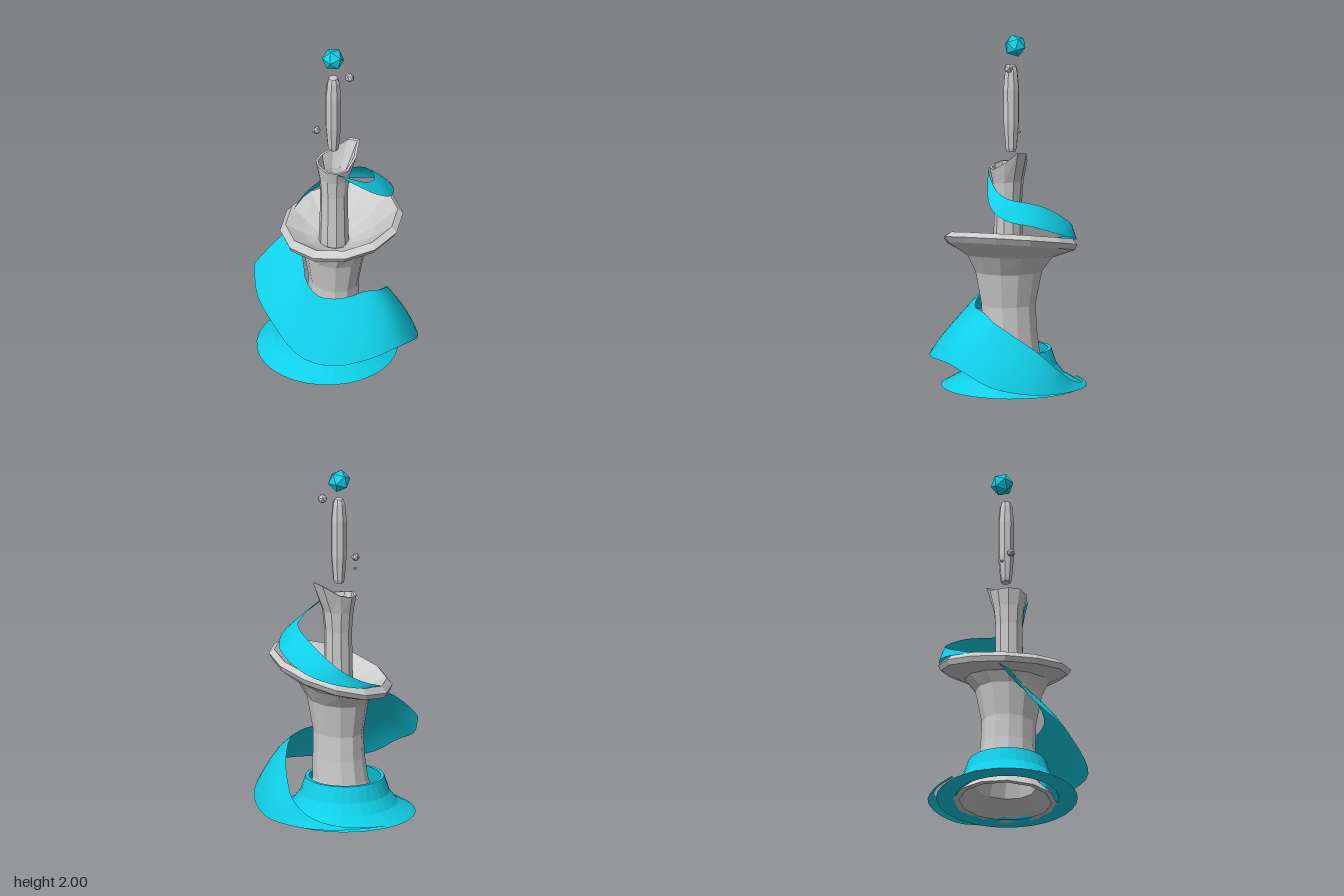
import * as THREE from 'three';

const grey = new THREE.MeshStandardMaterial({ color: 0xcccccc, flatShading: true, side: THREE.DoubleSide });
const cyan = new THREE.MeshStandardMaterial({ color: 0x10cfe8, flatShading: true, side: THREE.DoubleSide });
const cyanSmooth = new THREE.MeshStandardMaterial({ color: 0x10cfe8, side: THREE.DoubleSide });

// Skin rows of points; wrap joins the ends of each row
function loft(rows, wrap) {
  const n = rows[0].length, pos = [], idx = [];
  rows.forEach(r => r.forEach(p => pos.push(p.x, p.y, p.z)));
  for (let i = 0; i < rows.length - 1; i++) {
    for (let j = 0; j < (wrap ? n : n - 1); j++) {
      const k = (j + 1) % n;
      const a = i * n + j, b = a + n, c = i * n + k, d = c + n;
      idx.push(a, b, c, b, d, c);
    }
  }
  const g = new THREE.BufferGeometry();
  g.setAttribute('position', new THREE.Float32BufferAttribute(pos, 3));
  g.setIndex(idx);
  g.computeVertexNormals();
  return g;
}

// Horizontal ring of points, bent by an optional rule
function ring(sides, cx, y, cz, rx, rz, bend) {
  return Array.from({ length: sides }, (_, j) => {
    const a = (j / sides) * Math.PI * 2;
    const p = new THREE.Vector3(cx + rx * Math.cos(a), y, cz + rz * Math.sin(a));
    if (bend) bend(p, a);
    return p;
  });
}

// Sheet between an upper and a lower edge curve, bulging outwards
function ribbon(upper, lower, bulge, steps) {
  const curve = pts => new THREE.CatmullRomCurve3(pts.map(p => new THREE.Vector3(...p)));
  const U = curve(upper), L = curve(lower), across = 6, rows = [];
  for (let i = 0; i <= steps; i++) {
    const t = i / steps;
    const u = U.getPoint(t), l = L.getPoint(t), w = l.clone().sub(u);
    const tangent = U.getTangent(t).add(L.getTangent(t));
    const out = w.clone().cross(tangent).normalize().multiplyScalar(bulge * w.length());
    rows.push(Array.from({ length: across + 1 }, (_, j) => {
      const s = 1 - j / across;
      return u.clone().addScaledVector(w, s).addScaledVector(out, 4 * s * (1 - s));
    }));
  }
  return loft(rows, false);
}

export function createModel() {
  const model = new THREE.Group();
  const add = (name, geometry, material, x = 0, y = 0, z = 0) => {
    const m = new THREE.Mesh(geometry, material);
    m.name = name;
    m.position.set(x, y, z);
    model.add(m);
    return m;
  };

  // Flared skirt with a hollow collar: [y, radius]
  const skirt = [[0, 0.29], [0, 0.395], [0.02, 0.36], [0.06, 0.295], [0.12, 0.25], [0.21, 0.22], [0.21, 0.2], [0.1, 0.225], [0, 0.29]];
  add('baseSkirt', loft(skirt.map(([y, r]) => ring(32, -0.045, y, -0.04, r, r)), true), cyan);

  // Hollow pedestal opening into a tilted bowl: [centre x, y, centre z, radius x, radius z, tilt]
  const pedestal = [
    [0, 0, -0.02, 0.275, 0.3, 0], [-0.025, 0.08, -0.03, 0.185, 0.2, 0], [-0.025, 0.2, -0.025, 0.15, 0.168, 0],
    [-0.02, 0.33, -0.015, 0.14, 0.16, 0], [-0.02, 0.47, -0.01, 0.135, 0.158, 0], [-0.018, 0.66, -0.01, 0.165, 0.195, 0.1],
    [0, 0.745, -0.01, 0.21, 0.248, 0.6], [0.025, 0.8, -0.01, 0.315, 0.372, 1], [0.027, 0.832, -0.005, 0.33, 0.39, 1],
    [0.03, 0.862, -0.01, 0.3, 0.355, 1], [0.01, 0.785, -0.01, 0.19, 0.224, 0.7], [-0.015, 0.745, -0.01, 0.1, 0.118, 0.3],
    [-0.02, 0.72, -0.01, 0.065, 0.075, 0], [-0.02, 0.6, -0.01, 0.105, 0.12, 0], [-0.02, 0.2, -0.02, 0.125, 0.14, 0],
    [-0.02, 0.08, -0.03, 0.16, 0.175, 0], [0, 0, -0.02, 0.245, 0.265, 0], [0, 0, -0.02, 0.275, 0.3, 0]
  ];
  add('pedestalBowl', loft(pedestal.map(([cx, y, cz, rx, rz, tilt]) =>
    ring(12, cx, y, cz, rx, rz, p => { p.y += tilt * (0.204 * p.x + 0.135 * p.z); })), true), grey);

  // Hollow neck with a raised spout towards +x: [centre x, y, radius, spout]
  const neck = [
    [-0.02, 0.7, 0.085, 0], [-0.02, 0.9, 0.08, 0], [-0.02, 1.06, 0.078, 0], [-0.02, 1.17, 0.086, 0.1], [-0.02, 1.265, 0.103, 1],
    [-0.02, 1.265, 0.09, 0.95], [-0.02, 1.17, 0.07, 0.1], [-0.02, 1.06, 0.06, 0], [0.01, 0.7, 0.038, 0]
  ];
  add('neckSpout', loft(neck.map(([cx, y, r, spout]) => ring(10, cx, y, -0.008, r, r, (p, a) => {
    const c = spout * Math.max(0, Math.cos(a + 0.2)) ** 2.2;
    p.x += 0.064 * c;
    p.y += 0.1 * c - 0.02 * spout * Math.max(0, Math.sin(a));
  })), true), grey);

  // Large ribbon sweeping from under the bowl down to the ground
  add('largeRibbon', ribbon(
    [[-0.22, 0.715, -0.215], [-0.19, 0.64, -0.07], [-0.22, 0.54, 0.04], [-0.18, 0.47, 0.12], [-0.05, 0.45, 0.17],
      [0.08, 0.45, 0.17], [0.18, 0.42, 0.16], [0.27, 0.35, 0.07], [0.335, 0.26, -0.05], [0.36, 0.16, -0.16],
      [0.31, 0.08, -0.265], [0.2, 0.04, -0.365], [0.06, 0.022, -0.415], [-0.08, 0.012, -0.425]],
    [[-0.405, 0.55, -0.235], [-0.443, 0.42, -0.13], [-0.44, 0.33, 0.05], [-0.38, 0.21, 0.24], [-0.25, 0.175, 0.37],
      [-0.03, 0.19, 0.435], [0.15, 0.195, 0.415], [0.28, 0.15, 0.345], [0.38, 0.085, 0.24], [0.445, 0.04, 0.02],
      [0.42, 0.03, -0.155], [0.29, 0.025, -0.347], [0.09, 0.02, -0.427], [-0.08, 0.015, -0.438]],
    0.06, 36), cyanSmooth);

  // Small ribbon curling from the neck round to the back of the bowl
  add('smallRibbon', ribbon(
    [[-0.055, 1.25, 0.1], [0.05, 1.19, 0.115], [0.13, 1.14, 0.105], [0.2, 1.11, 0.06], [0.235, 1.09, -0.04],
      [0.237, 1.06, -0.13], [0.21, 1.0, -0.235], [0.15, 0.93, -0.325], [0.055, 0.87, -0.352], [-0.03, 0.83, -0.34], [-0.125, 0.79, -0.29]],
    [[-0.05, 1.242, 0.1], [0.05, 1.165, 0.138], [0.145, 1.095, 0.168], [0.23, 1.045, 0.162], [0.3, 1.005, 0.1],
      [0.345, 0.985, 0], [0.35, 0.95, -0.11], [0.305, 0.9, -0.235], [0.19, 0.855, -0.337], [0.04, 0.82, -0.369], [-0.12, 0.785, -0.297]],
    0.06, 32), cyanSmooth);

  // Floating shard with blunt ends: [y, radius]
  const shard = [[1.35, 0], [1.34, 0.028], [1.36, 0.033], [1.5, 0.045], [1.7, 0.046], [1.8, 0.036], [1.828, 0.026], [1.835, 0]];
  add('floatingShard', loft(shard.map(([y, r]) => ring(8, -0.015, y, -0.025, r, r)), true), grey);

  // Crowning gem
  add('topGem', new THREE.IcosahedronGeometry(0.064, 0), cyan, -0.005, 1.94, -0.045).rotation.set(0.1, 0.2, -0.2);

  // Drifting pebbles
  [[0.065, 1.83, 0.02, 0.028], [-0.105, 1.48, -0.055, 0.024], [-0.078, 1.43, -0.095, 0.01]].forEach(([x, y, z, r], i) => {
    add('pebble' + (i + 1), new THREE.IcosahedronGeometry(r, 0), grey, x, y, z).rotation.set(i, 0.5 + i, 0.3);
  });

  return model;
}
